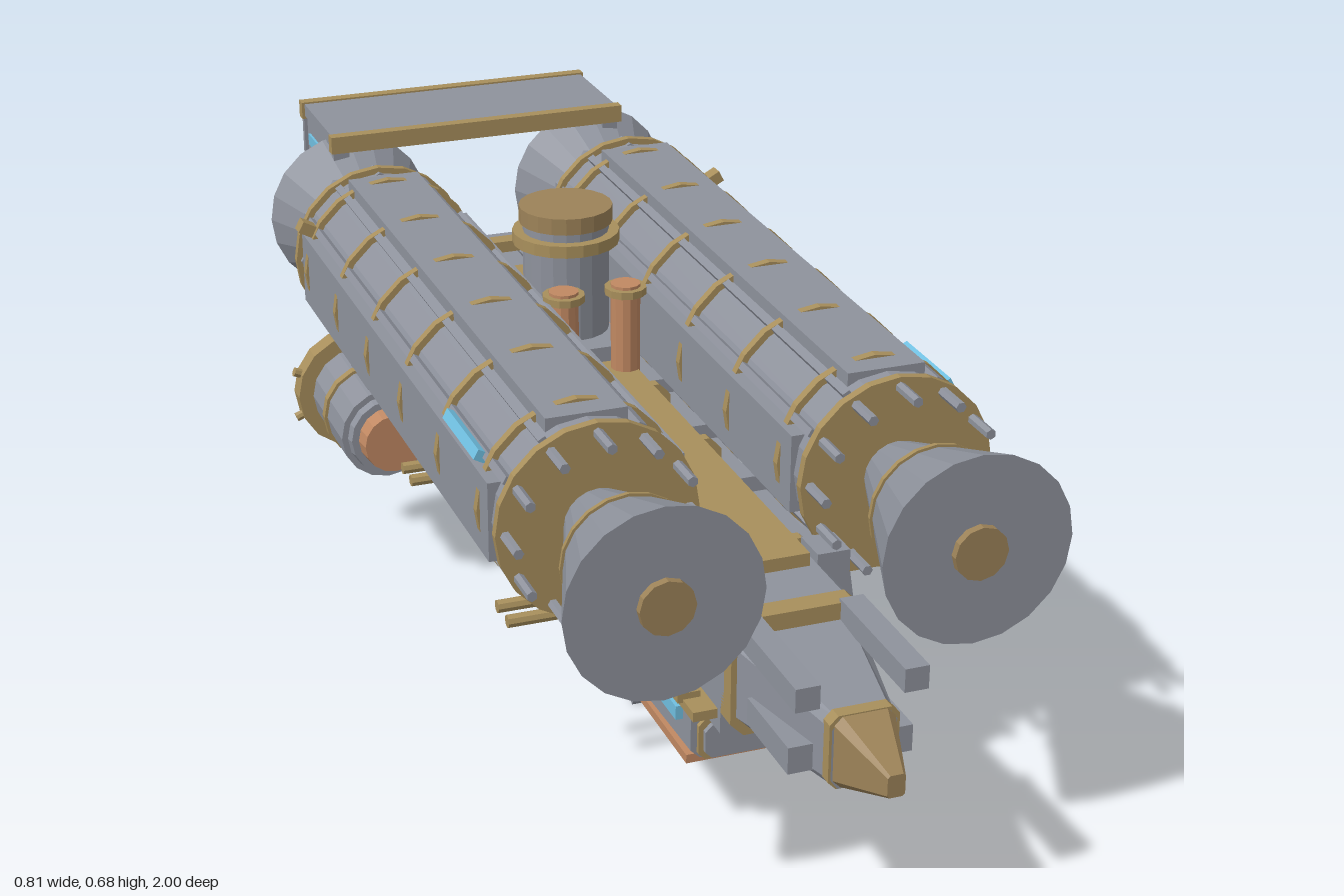
import * as THREE from 'three';

const mat = (color) => new THREE.MeshStandardMaterial({ color, flatShading: true });
const GREY = mat(0x8e929c), TAN = mat(0xa88f5c), COPPER = mat(0xc08862), BLUE = mat(0x70bfe0), BROWN = mat(0x9c8258);

export function createModel() {
  const model = new THREE.Group();
  model.name = 'spacecraft';

  const add = (name, geo, m, x, y, z, parent = model) => {
    const mesh = new THREE.Mesh(geo, m);
    mesh.name = name;
    mesh.position.set(x, y, z);
    parent.add(mesh);
    return mesh;
  };
  // box given by its extents
  const box = (name, m, x0, x1, y0, y1, z0, z1, parent) =>
    add(name, new THREE.BoxGeometry(Math.abs(x1 - x0), y1 - y0, Math.abs(z1 - z0)), m, (x0 + x1) / 2, (y0 + y1) / 2, (z0 + z1) / 2, parent);
  // cylinder along z from z0 (radius r0) to z1 (radius r1)
  const tubeZ = (name, m, x, y, z0, z1, r0, r1 = r0, n = 20, parent) =>
    add(name, new THREE.CylinderGeometry(r1, r0, z1 - z0, n).rotateX(Math.PI / 2), m, x, y, (z0 + z1) / 2, parent);
  const tubeY = (name, m, x, z, y0, y1, r0, r1 = r0, n = 20) =>
    add(name, new THREE.CylinderGeometry(r1, r0, y1 - y0, n), m, x, (y0 + y1) / 2, z);
  // straight rod between two points
  const rod = (name, m, a, b, r, n = 8) => {
    const p = new THREE.Vector3(...a), q = new THREE.Vector3(...b), d = q.clone().sub(p);
    const mesh = add(name, new THREE.CylinderGeometry(r, r, d.length(), n), m, 0, 0, 0);
    mesh.position.copy(p).add(q).multiplyScalar(0.5);
    mesh.quaternion.setFromUnitVectors(new THREE.Vector3(0, 1, 0), d.normalize());
    return mesh;
  };
  // chamfered block along z whose front end is scaled by sx, sy
  const prism = (name, m, w, y0, y1, z0, z1, c = 0.02, sx = 1, sy = 1) => {
    const a = w / 2, b = (y1 - y0) / 2;
    const pts = [[-a + c, -b], [a - c, -b], [a, -b + c], [a, b - c], [a - c, b], [-a + c, b], [-a, b - c], [-a, -b + c]];
    const shape = new THREE.Shape(pts.map((p) => new THREE.Vector2(...p)));
    const geo = new THREE.ExtrudeGeometry(shape, { depth: z1 - z0, bevelEnabled: false });
    const pos = geo.attributes.position;
    for (let i = 0; i < pos.count; i++)
      if (pos.getZ(i) > (z1 - z0) / 2) pos.setXY(i, pos.getX(i) * sx, pos.getY(i) * sy);
    geo.computeVertexNormals();
    return add(name, geo, m, 0, (y0 + y1) / 2, z0);
  };

  // central hull and nose
  prism('hull', GREY, 0.2, 0.22, 0.385, -0.62, 0.66);
  prism('hullFrontCollar', TAN, 0.2, 0.21, 0.39, 0.65, 0.685);
  prism('noseSection', GREY, 0.185, 0.22, 0.365, 0.68, 0.9, 0.02, 0.5, 0.72);
  prism('noseCollar', TAN, 0.1, 0.24, 0.35, 0.88, 0.9, 0.012);
  prism('noseTip', BROWN, 0.09, 0.24, 0.35, 0.895, 1.0, 0.012, 0.28, 0.3);
  box('spinePlate', TAN, -0.068, 0.068, 0.375, 0.405, -0.64, 0.56);
  box('keel', GREY, -0.06, 0.06, 0.17, 0.23, -0.6, 0.5);
  for (const z of [0.48, 0.12, -0.1]) prism('hullFrame', TAN, 0.215, 0.215, 0.392, z - 0.009, z + 0.009);

  // tail
  prism('tailBlock', GREY, 0.24, 0.2, 0.385, -0.7, -0.54);
  prism('tailFrame', TAN, 0.25, 0.19, 0.39, -0.575, -0.56);
  prism('tailNeck', GREY, 0.18, 0.25, 0.38, -0.8, -0.69);
  box('tailBeam', GREY, -0.1, 0.1, 0.26, 0.32, -0.94, -0.78);
  box('tailSill', TAN, -0.1, 0.1, 0.247, 0.262, -0.93, -0.72);
  box('tailCrossbar', TAN, -0.16, 0.16, 0.4, 0.42, -0.75, -0.72);
  box('tailShelf', GREY, -0.245, 0.245, 0.335, 0.355, -0.93, -0.78);

  // rear frame roof
  box('rearRoof', GREY, -0.262, 0.262, 0.61, 0.632, -0.975, -0.775);
  for (const z of [-0.98, -0.77]) box('roofEdge', TAN, -0.267, 0.267, 0.605, 0.635, z - 0.01, z + 0.01);

  // dorsal tower
  tubeY('towerBase', COPPER, 0, -0.29, 0.39, 0.42, 0.08);
  tubeY('tower', GREY, 0, -0.29, 0.41, 0.62, 0.07);
  tubeY('towerRing', TAN, 0, -0.29, 0.58, 0.6, 0.087);
  tubeY('towerCap', BROWN, 0, -0.29, 0.615, 0.642, 0.076);
  box('towerFoot', GREY, -0.07, 0.07, 0.4, 0.43, -0.4, -0.18);

  // forward belly pod
  prism('bellyPod', GREY, 0.22, 0.095, 0.195, 0.21, 0.55, 0.015, 0.95, 0.9);
  box('bellyPodFloor', COPPER, -0.105, 0.105, 0.084, 0.098, 0.22, 0.535);
  prism('bellyPodFront', TAN, 0.19, 0.1, 0.165, 0.545, 0.557, 0.01);
  prism('bellyPodFace', GREY, 0.175, 0.105, 0.158, 0.55, 0.565, 0.01);
  box('bellyPodRoof', TAN, -0.117, 0.117, 0.185, 0.2, 0.2, 0.59);
  box('bellyPodMount', GREY, -0.08, 0.08, 0.165, 0.225, 0.18, 0.6);

  // rear belly pod
  prism('rearBellyPod', GREY, 0.2, 0.12, 0.2, -0.57, -0.22, 0.02);
  box('rearBellyPodFloor', TAN, -0.09, 0.09, 0.108, 0.122, -0.56, -0.24);
  for (const z of [-0.26, -0.53]) prism('rearPodBand', TAN, 0.212, 0.112, 0.206, z - 0.008, z + 0.008);

  // tilted sensor under the belly
  const sensor = new THREE.Group();
  sensor.name = 'bellySensor';
  sensor.position.set(0, 0.078, 0.08);
  sensor.rotation.x = 0.52;
  model.add(sensor);
  tubeZ('sensorDrum', BROWN, 0, 0, -0.06, 0.02, 0.05, 0.05, 12, sensor);
  tubeZ('sensorRim', TAN, 0, 0, 0.015, 0.04, 0.068, 0.068, 12, sensor);
  tubeZ('sensorBarrel', GREY, 0, 0, 0.04, 0.075, 0.058, 0.058, 16, sensor);
  box('sensorShade', GREY, -0.05, 0.05, -0.058, -0.048, 0.03, 0.125, sensor);
  rod('sensorPost', GREY, [0, 0.08, 0.06], [0, 0.19, 0.06], 0.03, 12);

  for (const s of [1, -1]) {
    // large side tank with end bells
    const tank = new THREE.Group();
    tank.name = s > 0 ? 'leftTank' : 'rightTank';
    tank.position.set(s * 0.225, 0.477, 0);
    model.add(tank);
    tubeZ('tankShell', GREY, 0, 0, -0.61, 0.49, 0.139, 0.139, 20, tank);
    for (const z of [0.495, 0.41, 0.215, 0.02, -0.17, -0.36, -0.55, -0.615])
      tubeZ('tankRing', TAN, 0, 0, z - 0.007, z + 0.007, 0.149, 0.149, 20, tank);
    tubeZ('frontBell', GREY, 0, 0, 0.5, 0.76, 0.05, 0.142, 20, tank);
    tubeZ('frontBellBand', TAN, 0, 0, 0.614, 0.624, 0.096, 0.098, 20, tank);
    tubeZ('frontHub', BROWN, 0, 0, 0.755, 0.772, 0.04, 0.04, 12, tank);
    tubeZ('rearBell', GREY, 0, 0, -0.82, -0.62, 0.142, 0.05, 20, tank);
    tubeZ('rearHub', COPPER, 0, 0, -0.838, -0.815, 0.048, 0.048, 12, tank);
    // raised panels, rails and end studs around the shell
    for (let i = 0; i < 12; i++) {
      const slot = new THREE.Group();
      slot.name = 'tankSector';
      slot.rotation.z = (i * Math.PI) / 6;
      tank.add(slot);
      if (i % 3 === 0) box('tankPanel', GREY, -0.06, 0.06, 0.12, 0.144, -0.58, 0.455, slot);
      else box('tankRail', GREY, -0.006, 0.006, 0.13, 0.147, -0.6, 0.48, slot);
      tubeZ('studFront', GREY, 0, 0.134, 0.48, 0.56, 0.008, 0.008, 6, slot);
      tubeZ('studRear', GREY, 0, 0.134, -0.645, -0.6, 0.008, 0.008, 6, slot);
    }
    const lamp = new THREE.Group();
    lamp.name = 'tankLamp';
    lamp.rotation.z = s > 0 ? 0.49 : Math.PI - 0.49;
    tank.add(lamp);
    box('lampStrip', BLUE, 0.13, 0.158, -0.008, 0.008, 0.24, 0.39, lamp);
    box('sideLug', TAN, 0.13, 0.172, -0.01, 0.01, -0.575, -0.55, lamp);

    // saddles tying the tank to the hull
    for (const z of [0.45, 0.22, 0.02, -0.17, -0.36, -0.52]) {
      box('tankSaddle', TAN, s * 0.15, s * 0.27, 0.325, 0.345, z - 0.04, z + 0.04);
      box('tankBracket', GREY, s * 0.09, s * 0.17, 0.3, 0.375, z - 0.025, z + 0.025);
    }
    box('sideRail', GREY, s * 0.09, s * 0.135, 0.31, 0.35, -0.6, 0.48);
    box('lowerRail', TAN, s * 0.09, s * 0.125, 0.195, 0.21, -0.5, 0.55);
    box('sideChannel', GREY, s * 0.09, s * 0.118, 0.22, 0.3, -0.6, 0.5);
    box('nosePylon', GREY, s * 0.06, s * 0.095, 0.36, 0.395, 0.68, 0.89);
    box('noseFin', GREY, s * 0.045, s * 0.09, 0.25, 0.29, 0.72, 0.86);
    box('shoulderBlock', GREY, s * 0.08, s * 0.13, 0.33, 0.4, 0.5, 0.56);

    // thruster blocks with paired tubes
    for (const z of [0.335, -0.165]) {
      const block = box('thrusterBlock', GREY, s * 0.11, s * 0.2, 0.215, 0.305, z - 0.085, z + 0.085);
      block.rotation.z = s * 0.15;
      box('thrusterPlate', TAN, s * 0.2, s * 0.208, 0.23, 0.3, z - 0.045, z + 0.045);
      for (const dz of [-0.024, 0.024])
        rod('thrusterTube', TAN, [s * 0.15, 0.265, z + dz], [s * 0.315, 0.265, z + dz], 0.01);
    }
    for (const [z0, z1] of [[0.14, 0.25], [-0.04, 0.08]]) tubeZ('sideCanister', COPPER, s * 0.14, 0.245, z0, z1, 0.026, 0.026, 12);
    tubeZ('bellyCanister', COPPER, s * 0.095, 0.145, -0.52, -0.3, 0.028, 0.028, 12);
    box('podLamp', BLUE, s * 0.1, s * 0.116, 0.15, 0.172, 0.36, 0.52);
    tubeY('towerPipe', COPPER, s * 0.052, -0.15, 0.39, 0.55, 0.024, 0.024, 12);
    tubeY('towerPipeRing', TAN, s * 0.052, -0.15, 0.533, 0.545, 0.034, 0.034, 12);
    for (const x of [0.03, 0.055]) rod('towerLine', COPPER, [s * x, 0.41, -0.44], [s * x, 0.41, -0.36], 0.007);

    // rear side engine
    const ex = s * 0.295, ey = 0.255;
    tubeZ('engineIntake', COPPER, ex, ey, -0.35, -0.305, 0.055, 0.05, 16);
    tubeZ('engineIntakeRing', GREY, ex, ey, -0.36, -0.335, 0.07, 0.065, 16);
    tubeZ('engineBody', GREY, ex, ey, -0.55, -0.35, 0.078, 0.078, 16);
    tubeZ('engineBand', TAN, ex, ey, -0.46, -0.445, 0.083, 0.083, 16);
    tubeZ('engineRim', TAN, ex, ey, -0.575, -0.54, 0.103, 0.103, 16);
    tubeZ('engineDisc', GREY, ex, ey, -0.583, -0.57, 0.088, 0.088, 16);
    tubeZ('engineHub', BROWN, ex, ey, -0.595, -0.58, 0.022, 0.022, 12);
    for (const a of [0.38, 1.95, 3.5, 4.3, 5.9])
      rod('engineLug', TAN, [ex + s * 0.09 * Math.cos(a), ey + 0.09 * Math.sin(a), -0.557],
        [ex + s * 0.114 * Math.cos(a), ey + 0.114 * Math.sin(a), -0.557], 0.008);
    box('engineArm', GREY, s * 0.1, s * 0.24, 0.23, 0.29, -0.53, -0.38);
    box('enginePylon', GREY, s * 0.27, s * 0.32, 0.32, 0.36, -0.48, -0.37);
    rod('engineStrut', COPPER, [s * 0.1, 0.17, -0.42], [s * 0.24, 0.23, -0.42], 0.012);

    // tail nozzles and rear frame sides
    tubeZ('tailNozzle', GREY, s * 0.09, 0.29, -0.95, -0.8, 0.042, 0.036, 14);
    tubeZ('tailNozzleRing', TAN, s * 0.09, 0.29, -0.957, -0.945, 0.044, 0.044, 14);
    box('rearSidePanel', GREY, s * 0.24, s * 0.256, 0.325, 0.615, -0.985, -0.775);
    box('rearPanelEdge', TAN, s * 0.234, s * 0.262, 0.32, 0.335, -0.99, -0.77);
    for (const z of [-0.985, -0.775]) box('rearPanelPost', GREY, s * 0.234, s * 0.262, 0.33, 0.61, z - 0.006, z + 0.006);
    box('rearPanelLamp', BLUE, s * 0.236, s * 0.26, 0.56, 0.58, -0.96, -0.84);
    tubeZ('roofPin', TAN, s * 0.225, 0.62, -1.0, -0.97, 0.012, 0.012, 8);
    rod('rearBrace', GREY, [s * 0.09, 0.36, -0.7], [s * 0.245, 0.6, -0.79], 0.012);
  }
  return model;
}
